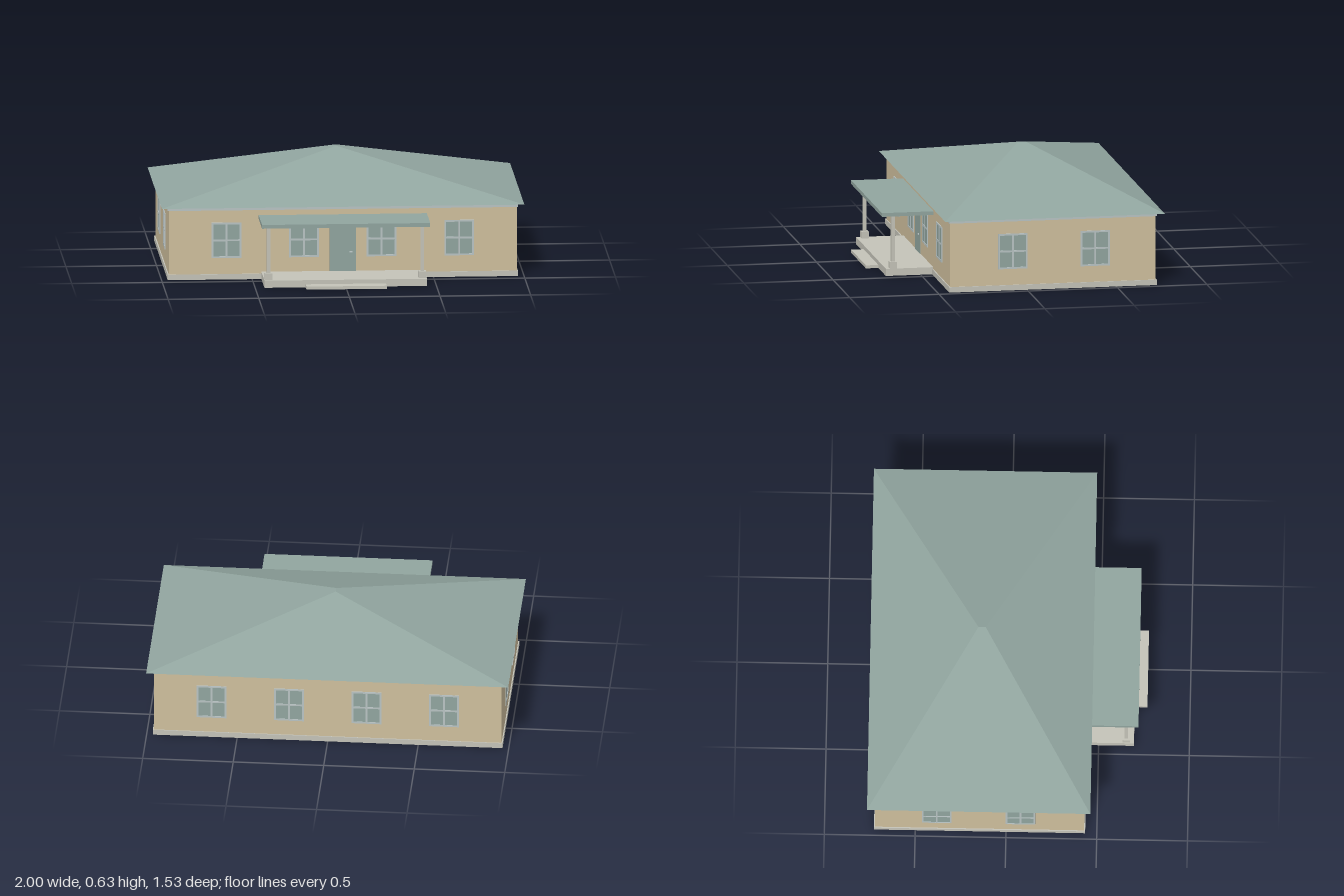
import * as THREE from 'three';

const mat = (name, color) => {
  const m = new THREE.MeshStandardMaterial({ color });
  m.name = name;
  return m;
};

export function createModel() {
  const wall = mat('tan wall', 0xcfbf9d);
  const roofMat = mat('grey green', 0x91a59f);
  const concrete = mat('concrete', 0xc4c3b8);
  const frameMat = mat('pale frame', 0xb9c4c4);
  const house = new THREE.Group();
  house.name = 'house';

  // Box given by its min and max corners
  const box = (parent, name, material, [x0, y0, z0], [x1, y1, z1]) => {
    const mesh = new THREE.Mesh(new THREE.BoxGeometry(x1 - x0, y1 - y0, z1 - z0), material);
    mesh.position.set((x0 + x1) / 2, (y0 + y1) / 2, (z0 + z1) / 2);
    mesh.name = name;
    parent.add(mesh);
    return mesh;
  };

  // Main body
  box(house, 'plinth', concrete, [-0.966, 0, -0.727], [0.966, 0.03, 0.436]);
  box(house, 'walls', wall, [-0.96, 0.03, -0.721], [0.96, 0.387, 0.43]);
  box(house, 'eaveTrim', frameMat, [-0.966, 0.387, -0.727], [0.966, 0.4045, 0.436]);

  // Hipped roof with a short ridge running front to back
  const eave = [[-1, 0.465], [1, 0.465], [1, -0.765], [-1, -0.765]].map(([x, z]) => [x, 0.405, z]);
  const [fl, fr, br, bl] = eave;
  const ridgeF = [0, 0.635, -0.13], ridgeB = [0, 0.635, -0.17];
  const faces = [
    [fl, fr, ridgeF], [br, bl, ridgeB],
    [fr, br, ridgeB], [fr, ridgeB, ridgeF],
    [bl, fl, ridgeF], [bl, ridgeF, ridgeB],
    [fl, bl, br], [fl, br, fr],
  ];
  const roofGeo = new THREE.BufferGeometry();
  roofGeo.setAttribute('position', new THREE.Float32BufferAttribute(faces.flat(2), 3));
  roofGeo.computeVertexNormals();
  const roof = new THREE.Mesh(roofGeo, roofMat);
  roof.name = 'roof';
  house.add(roof);

  // Four-pane windows, built facing +z and turned onto each wall
  const addWindow = (x, z, turn) => {
    const w = new THREE.Group();
    w.name = 'window';
    const hw = 0.082, hh = 0.099, b = 0.01, d = 0.005;
    box(w, 'glass', roofMat, [-hw + b / 2, -hh + b / 2, -0.002], [hw - b / 2, hh - b / 2, 0.002]);
    for (const s of [-1, 0, 1]) {
      const cx = s * (hw - b / 2), cy = s * (hh - b / 2);
      box(w, 'frameUpright', frameMat, [cx - b / 2, -hh, -0.002], [cx + b / 2, hh, d]);
      box(w, 'frameRail', frameMat, [-hw + b, cy - b / 2, -0.002], [hw - b, cy + b / 2, d - 0.0005]);
    }
    w.position.set(x, 0.219, z);
    w.rotation.y = turn;
    house.add(w);
  };
  for (const x of [-0.642, -0.214, 0.214, 0.642]) {
    addWindow(x, 0.43, 0);
    addWindow(x, -0.721, Math.PI);
  }
  for (const z of [0.079, -0.381]) {
    addWindow(0.96, z, Math.PI / 2);
    addWindow(-0.96, z, -Math.PI / 2);
  }

  // Front door with handle
  box(house, 'door', roofMat, [-0.072, 0.04, 0.428], [0.072, 0.303, 0.435]);
  box(house, 'doorHandle', frameMat, [0.036, 0.143, 0.434], [0.052, 0.15, 0.441]);

  // Porch slab, step, columns and flat canopy
  box(house, 'porchSlab', concrete, [-0.449, 0, 0.42], [0.449, 0.04, 0.695]);
  box(house, 'step', concrete, [-0.222, 0, 0.69], [0.222, 0.017, 0.765]);
  for (const x of [-0.424, 0.424]) {
    box(house, 'columnBase', concrete, [x - 0.021, 0.04, 0.631], [x + 0.021, 0.077, 0.673]);
    box(house, 'column', concrete, [x - 0.01, 0.077, 0.642], [x + 0.01, 0.336, 0.662]);
  }
  box(house, 'canopy', roofMat, [-0.464, 0.336, 0.428], [0.464, 0.357, 0.72]);

  return house;
}
